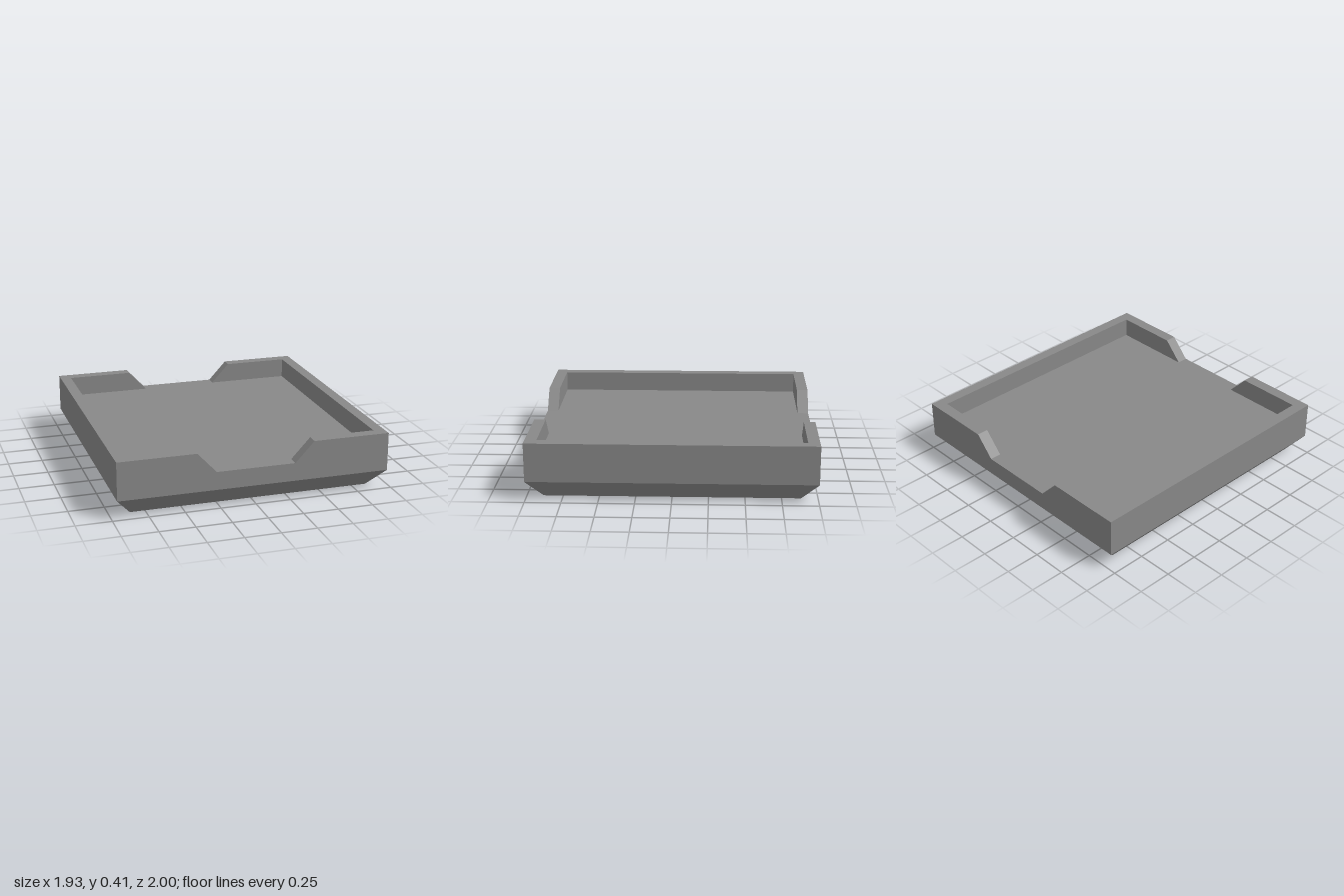
import * as THREE from 'three';

const X = 0.965, Z = 1;            // outer half sizes
const IX = 0.886, IZ = 0.918;      // inside of the rim
const TAPER = 0.136, FLOOR = 0.265, TOP = 0.41;
const NOTCH_LOW = 0.28, NOTCH_HIGH = 0.415;

// Loops are [x, z] corners, anticlockwise seen from above.
const rectangle = (x, z) => [[x, z], [x, -z], [-x, -z], [-x, z]];
const halfTurn = (loop) => loop.map(([x, z]) => [-x, -z]);
const rimLoop = (n) => [
  [X, Z], [X, -Z], [n, -Z], [n, -IZ], [IX, -IZ], [IX, IZ], [n, IZ], [n, Z],
];

// Wall of quads between two loops at different heights.
function wall(lower, y0, upper, y1) {
  const out = [];
  lower.forEach((p, i) => {
    const j = (i + 1) % lower.length;
    const a = [p[0], y0, p[1]], b = [lower[j][0], y0, lower[j][1]];
    const c = [upper[j][0], y1, upper[j][1]], d = [upper[i][0], y1, upper[i][1]];
    out.push(...a, ...b, ...c, ...a, ...c, ...d);
  });
  return out;
}

// Flat face filling a loop, facing up or down.
function cap(loop, y, up = true) {
  const outline = loop.map(([x, z]) => new THREE.Vector2(x, -z));
  return THREE.ShapeUtils.triangulateShape(outline, []).flatMap((face) =>
    (up ? face : [...face].reverse()).flatMap((i) => [loop[i][0], y, loop[i][1]]));
}

export function createModel() {
  const group = new THREE.Group();
  group.name = 'tray';
  const material = new THREE.MeshStandardMaterial({ color: 0x888888, flatShading: true });

  const add = (name, ...pieces) => {
    const geometry = new THREE.BufferGeometry();
    geometry.setAttribute('position', new THREE.Float32BufferAttribute(pieces.flat(), 3));
    geometry.computeVertexNormals();
    const mesh = new THREE.Mesh(geometry, material);
    mesh.name = name;
    group.add(mesh);
  };

  // Base with a tapered underside
  const foot = rectangle(0.855, 0.884), outer = rectangle(X, Z);
  add('base',
    cap(foot, 0, false),
    wall(foot, 0, outer, TAPER),
    wall(outer, TAPER, outer, FLOOR));

  // Floor, running out through the two notches
  const rimLow = rimLoop(NOTCH_LOW), rimHigh = rimLoop(NOTCH_HIGH);
  const inner = rimLow.slice(2).reverse();
  add('floor', cap([...inner, ...halfTurn(inner)], FLOOR));

  // Two C-shaped rims with sloping notch ends
  add('leftRim', wall(rimLow, FLOOR, rimHigh, TOP), cap(rimHigh, TOP));
  add('rightRim',
    wall(halfTurn(rimLow), FLOOR, halfTurn(rimHigh), TOP),
    cap(halfTurn(rimHigh), TOP));

  return group;
}
